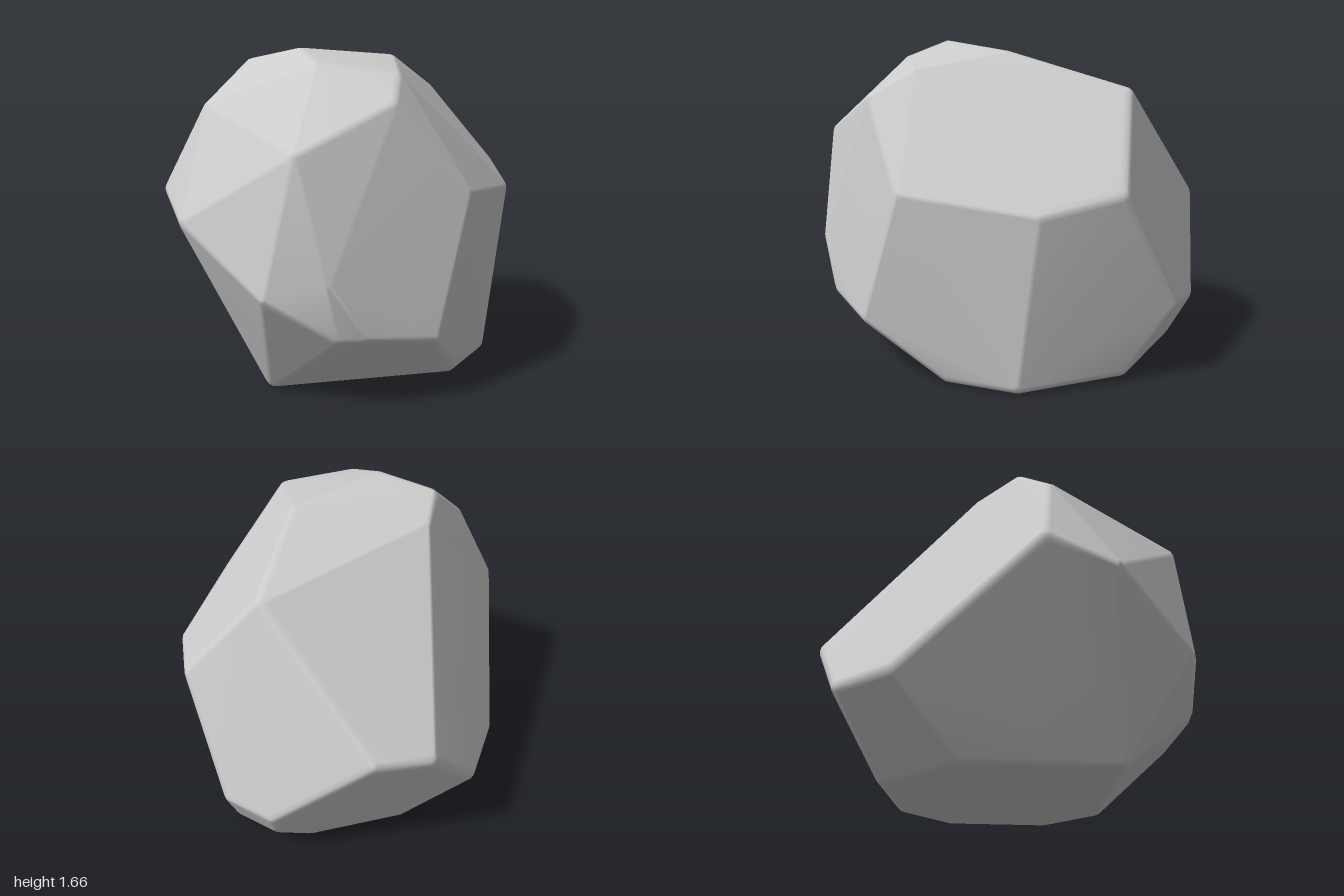
import * as THREE from 'three';
import { ConvexGeometry } from 'three/addons/geometries/ConvexGeometry.js';
import { mergeVertices } from 'three/addons/utils/BufferGeometryUtils.js';

const BEVEL = 0.06;

// Corners of the faceted boulder
const corners = [
  // crown
  [-0.4, 1.665, 0.02], [0.1, 1.635, 0.25], [-0.28, 1.545, 0.54], [-0.47, 1.42, 0.645], [-0.51, 1.59, 0.23],
  [-0.44, 1.61, -0.28], [-0.2, 1.55, -0.35], [-0.71, 1.39, -0.33], [0.72, 1.45, 0.1],
  // +x face
  [0.845, 1.0, 0.47], [1.015, 0.4, 0.16], [1.015, 0.37, -0.08], [0.855, 0.82, -0.58],
  // front
  [0.53, 0.92, 0.735], [-0.16, 0.99, 0.885], [-0.4, 0.31, 0.85], [-0.72, 0.36, 0.655],
  // -x face
  [-0.89, 1.2, 0.4], [-0.865, 0.62, 0.555], [-0.8, 0.36, 0.57],
  [-1.015, 0.85, -0.2], [-1.015, 0.55, 0.32], [-0.845, 0.97, -0.495],
  // back
  [-0.09, 0.41, -0.835], [0.31, 0.42, -0.885], [0.65, 0.77, -0.785],
  // base
  [0, 0, 0.72], [0.385, 0.01, 0.675], [0.79, 0.03, 0.27], [0.91, 0.17, -0.04],
  [0.73, 0.02, -0.13], [0.38, 0.03, -0.53], [-0.17, 0.03, -0.47], [-0.73, 0.01, 0.11],
].map((c) => new THREE.Vector3(...c));

// Hull around a small ball at each corner gives softly worn edges
function wornHull(points, radius) {
  const ball = mergeVertices(new THREE.IcosahedronGeometry(radius, 2).deleteAttribute('normal').deleteAttribute('uv'));
  const pos = ball.attributes.position;
  const centre = new THREE.Vector3(0, 0.75, 0);
  const cloud = [];
  for (const p of points) {
    const core = p.clone().add(centre.clone().sub(p).setLength(radius * 1.2));
    core.y = Math.max(core.y, radius);
    for (let i = 0; i < pos.count; i++) {
      cloud.push(new THREE.Vector3().fromBufferAttribute(pos, i).add(core));
    }
  }
  const hull = new ConvexGeometry(cloud);
  hull.deleteAttribute('normal');
  const smooth = mergeVertices(hull, 1e-4);
  smooth.computeVertexNormals();
  return smooth;
}

export function createModel() {
  const stone = new THREE.MeshStandardMaterial({ color: 0xcccccc });
  stone.name = 'pale stone grey';

  const boulder = new THREE.Mesh(wornHull(corners, BEVEL), stone);
  boulder.name = 'boulder';

  const group = new THREE.Group();
  group.name = 'rock';
  group.add(boulder);
  return group;
}
